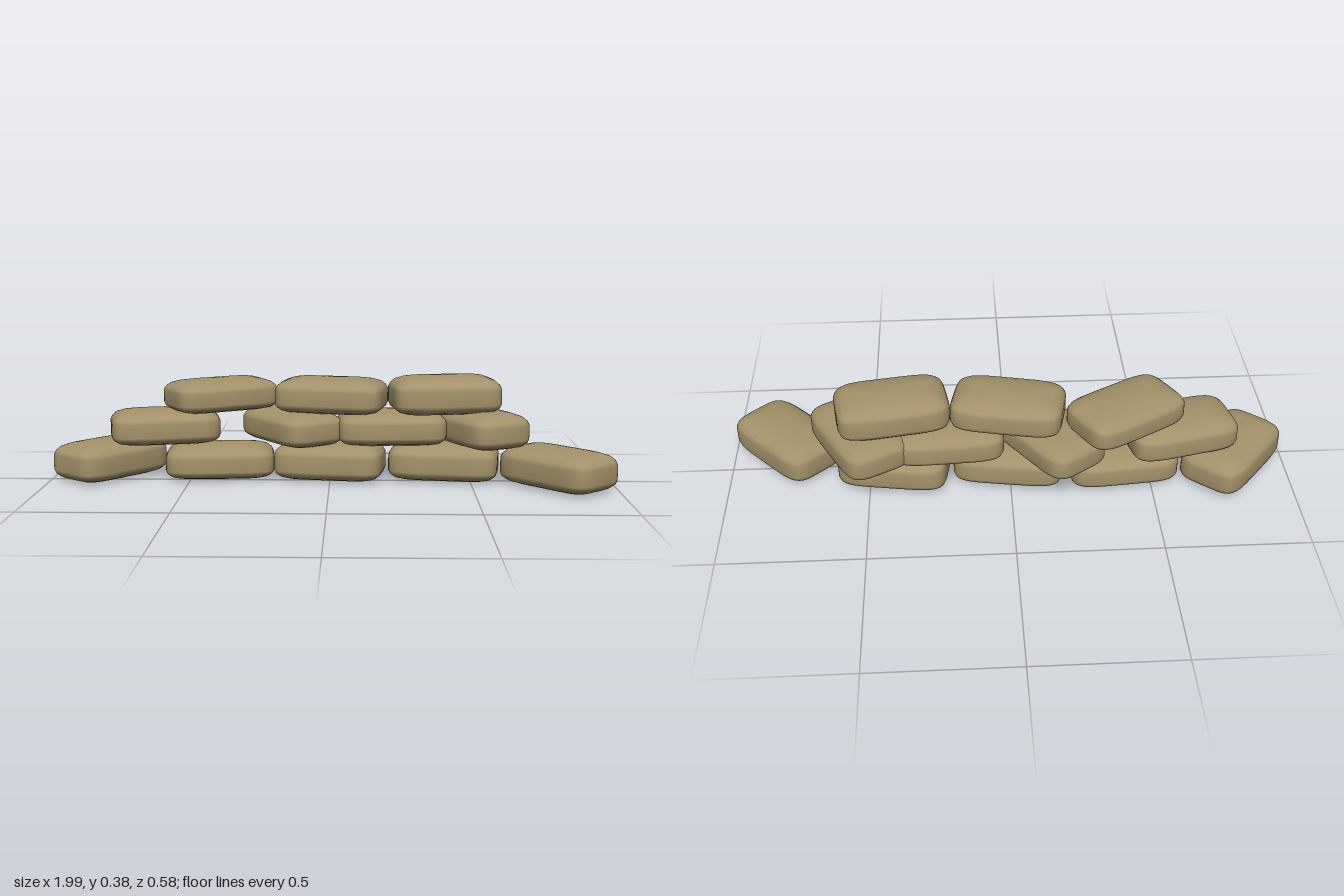
import * as THREE from 'three';

// Filled bag: superellipse rings stacked along a soft pillow profile
function bagGeometry(length, height, width) {
  const N = 48, power = 2 / 5;
  // [inset from the outline, fraction of the height]
  const profile = [
    [0.075, 0.0], [0.045, 0.03], [0.02, 0.09], [0.005, 0.18], [0, 0.28], [0, 0.66],
    [0.006, 0.76], [0.02, 0.86], [0.045, 0.93], [0.075, 0.975],
  ];
  const pos = [0, 0, 0], index = [];
  const soft = (v) => Math.sign(v) * Math.pow(Math.abs(v), power);
  for (const [inset, y] of profile) {
    for (let i = 0; i < N; i++) {
      const t = (i / N) * Math.PI * 2;
      pos.push(soft(Math.cos(t)) * (length / 2 - inset), y * height, soft(Math.sin(t)) * (width / 2 - inset));
    }
  }
  const top = pos.length / 3;
  pos.push(0, height, 0);
  const at = (ring, i) => 1 + ring * N + (i % N);
  const last = profile.length - 1;
  for (let i = 0; i < N; i++) {
    index.push(0, at(0, i), at(0, i + 1));
    for (let r = 0; r < last; r++) {
      const a = at(r, i), b = at(r, i + 1), c = at(r + 1, i), d = at(r + 1, i + 1);
      index.push(a, c, b, b, c, d);
    }
    index.push(at(last, i), top, at(last, i + 1));
  }
  const g = new THREE.BufferGeometry();
  g.setAttribute('position', new THREE.Float32BufferAttribute(pos, 3));
  g.setIndex(index);
  g.computeVertexNormals();
  return g;
}

export function createModel() {
  const model = new THREE.Group();
  model.name = 'sandbagWall';
  const burlap = new THREE.MeshStandardMaterial({ color: 0xa3926a });
  burlap.name = 'burlap';

  // Courses from the ground up; each bag is [x, z, yaw in degrees, height]
  const courses = [
    { name: 'bottomCourse', y: 0, bags: [
      [-0.8, -0.065, 50, 0.14], [-0.4, -0.07, 5, 0.125], [0, -0.05, -9, 0.137],
      [0.41, -0.05, -9, 0.137], [0.8, 0.085, -47, 0.14]] },
    { name: 'middleCourse', y: 0.123, bags: [
      [-0.6, -0.075, 13, 0.127], [-0.14, -0.097, -55, 0.125],
      [0.22, -0.075, 3, 0.125], [0.53, -0.065, -62, 0.132]] },
    { name: 'topCourse', y: 0.237, bags: [
      [-0.4, -0.115, 30, 0.118], [0.005, -0.07, -12, 0.128], [0.41, -0.062, 9, 0.138]] },
  ];
  for (const { name, y, bags } of courses) {
    const course = new THREE.Group();
    course.name = name;
    bags.forEach(([x, z, yaw, height], i) => {
      const bag = new THREE.Mesh(bagGeometry(0.39, height, 0.245), burlap);
      bag.name = `sandbag${i + 1}`;
      bag.position.set(x, y, z);
      bag.rotation.y = THREE.MathUtils.degToRad(yaw);
      course.add(bag);
    });
    model.add(course);
  }
  return model;
}
